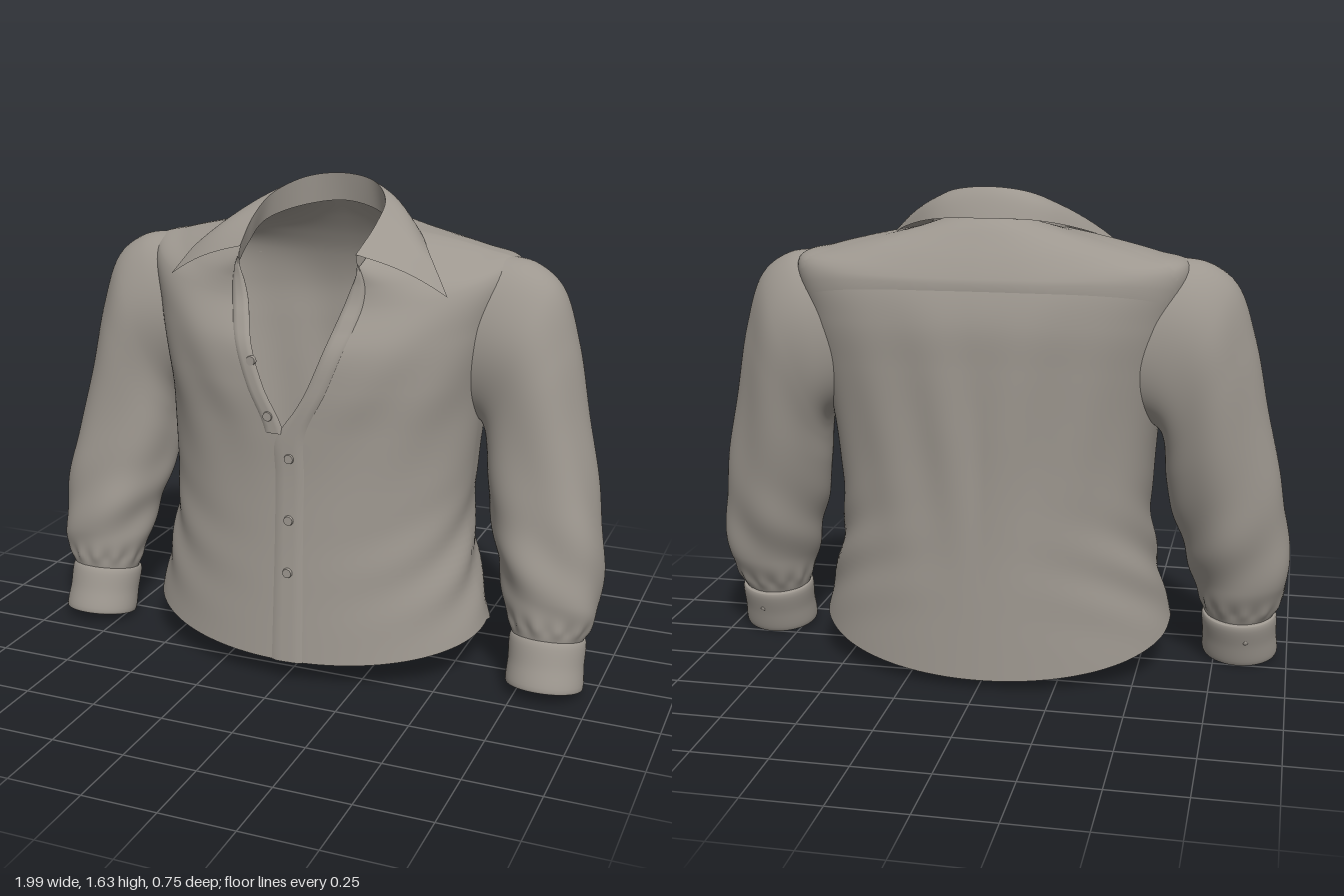
import * as THREE from 'three';
import { mergeVertices } from 'three/addons/utils/BufferGeometryUtils.js';

const V = (x, y, z) => new THREE.Vector3(x, y, z);
const cloth = new THREE.MeshStandardMaterial({ color: 0x9d978f, side: THREE.DoubleSide });
cloth.name = 'taupe cloth';

// Smooth surface from a point rule f(u, v), u and v in 0..1; quads starting inside a hole are left out
function surface(name, nu, nv, f, inHole = () => false) {
  const pts = [], idx = [];
  for (let j = 0; j <= nv; j++)
    for (let i = 0; i <= nu; i++) pts.push(f(i / nu, j / nv));
  for (let j = 0; j < nv; j++)
    for (let i = 0; i < nu; i++) {
      const a = j * (nu + 1) + i, b = a + nu + 1;
      if (!inHole(pts[a])) idx.push(a, a + 1, b, a + 1, b + 1, b);
    }
  let g = new THREE.BufferGeometry().setFromPoints(pts);
  g.setIndex(idx);
  g = mergeVertices(g, 1e-5);
  g.computeVertexNormals();
  const m = new THREE.Mesh(g, cloth);
  m.name = name;
  return m;
}

// Torso rings: half width, middle z, front z, back z, front y, side y, back y,
// half opening, front and back roundness (smaller is squarer), height falloff
const RINGS = [
  [.605, -.01, .37, -.37, .09, .18, .04, 0, 1, .9, 1],
  [.565, -.01, .352, -.365, .3, .33, .28, 0, 1, .85, 1],
  [.53, -.01, .335, -.36, .52, .53, .52, 0, 1, .75, 1],
  [.535, -.02, .325, -.36, .72, .72, .72, 0, 1, .7, 1],
  [.55, -.03, .325, -.365, .87, .88, .9, 0, 1, .65, 1],
  [.575, -.06, .318, -.37, 1.02, 1.05, 1.08, .075, 1, .62, 1],
  [.61, -.08, .295, -.37, 1.15, 1.22, 1.22, .125, 1.1, .6, 1.5],
  [.645, -.09, .225, -.345, 1.28, 1.405, 1.33, .165, 1.3, .6, 1.6],
  [.54, -.09, .21, -.31, 1.34, 1.442, 1.41, .185, 1.35, .65, 1.6],
  [.37, -.07, .208, -.265, 1.38, 1.482, 1.485, .2, 1.2, .75, 1.7],
  [.23, -.03, .205, -.212, 1.41, 1.505, 1.56, .205, 1, 1, 1.7],
];

// Cloth folds: slanted creases at the waist, two long pleats at the back
function fold(a, y) {
  const s = Math.abs(Math.sin(a)), c = Math.cos(a);
  const waist = Math.exp(-(((y - .4) / .18) ** 2)) * s * s * .008 * Math.sin(y * 30 + 9 * c);
  const chest = c > 0 ? .005 * s * Math.exp(-(((y - .95) / .25) ** 2)) * Math.sin(14 * s - 9 * y) : 0;
  const back = c < 0 ? .007 * c * c * Math.exp(-(((y - .85) / .35) ** 2)) * Math.cos(15 * s - 3 * y) : 0;
  return waist + chest + back;
}

// Torso point: a = 0 at one front edge, PI at the back, 2 PI at the other front edge
function torsoPoint(a, v, lift = 0) {
  const side = a > Math.PI ? -1 : 1, b = side < 0 ? 2 * Math.PI - a : a;
  const s = Math.sin(b), c = Math.cos(b);
  const pts = RINGS.map(([w, zc, zf, zb, yf, ys, yb, x0, fq, bq, hp]) => {
    const k = Math.pow(Math.abs(c), hp);
    return c > 0
      ? V(x0 + (w - x0) * s, ys + (yf - ys) * k, zc + (zf - zc) * Math.pow(c, fq))
      : V(w * s, ys + (yb - ys) * k, zc + (zb - zc) * Math.pow(-c, bq));
  });
  const p = new THREE.CatmullRomCurve3(pts).getPoint(v);
  const d = fold(b, p.y) + lift;
  p.x = (p.x + d * s) * side;
  p.z += d * c;
  if (v > .65) p.y += lift;
  return p;
}
const inArmhole = p => Math.abs(p.x) > .45
  && ((p.y - 1.14) / .21) ** 2 + ((p.z + .09) / .115) ** 2 < 1;

// Sleeve rings: inner x, y, outer x, y, middle z, half depth
const SLEEVE = [
  [.535, .88, .60, 1.425, -.095, .165],
  [.56, .855, .70, 1.408, -.093, .175],
  [.57, .82, .79, 1.34, -.085, .175],
  [.575, .77, .855, 1.16, -.07, .168],
  [.58, .69, .905, .92, -.05, .16],
  [.60, .58, .96, .68, -.022, .152],
  [.635, .46, .99, .48, .008, .148],
  [.668, .34, .995, .32, .035, .132],
  [.695, .25, .975, .24, .05, .115],
  [.715, .19, .95, .19, .06, .1],
];
// Cuff rings: outside from wrist to hem, then back up the inside
const CUFF = [
  [.722, .20, .945, .20, .055, .1],
  [.708, .196, .957, .196, .055, .112],
  [.708, .11, .962, .11, .08, .114],
  [.71, .03, .965, .03, .105, .112],
  [.718, .028, .957, .028, .105, .104],
  [.72, .18, .945, .18, .06, .1],
];
function ringPoint(rings, ang, v, side, tilt) {
  const c = Math.cos(ang), s = Math.sin(ang);
  const pts = rings.map(([xi, yi, xo, yo, z, r]) => V(
    (xi + xo) / 2 + (xo - xi) / 2 * c,
    (yi + yo) / 2 + (yo - yi) / 2 * c + tilt * r * s * v,
    z + r * s));
  const p = new THREE.CatmullRomCurve3(pts).getPoint(v);
  p.x *= side;
  return p;
}
function sleevePoint(u, v, side) {
  const a = u * Math.PI * 2;
  const p = ringPoint(SLEEVE, a, v, side, .2);
  // Long drapes above, slanted elbow creases, tight gathers at the cuff
  const d = .005 * Math.sin(5 * a + 6 * v) * Math.sin(Math.PI * v)
    + .006 * Math.exp(-(((v - .7) / .14) ** 2)) * Math.sin(30 * v + 3 * a)
    + .005 * Math.exp(-(((v - .91) / .05) ** 2)) * Math.sin(12 * a);
  // The armhole end wraps around the torso
  const wrap = .1 * Math.sin(a) ** 2 * Math.pow(1 - v, 8);
  p.x += (d * Math.cos(a) - wrap) * side;
  p.z += d * Math.sin(a);
  return p;
}

// Collar lines, back centre to front, mirrored into full curves
function mirrored(half) {
  const left = half.map(p => V(...p));
  const right = half.slice(1).reverse().map(([x, y, z]) => V(-x, y, z));
  return new THREE.CatmullRomCurve3([...right, ...left]);
}
const standLine = mirrored([[0, 1.55, -.205], [.14, 1.53, -.16], [.22, 1.495, -.04], [.22, 1.44, .1], [.205, 1.4, .205]]);
const foldLine = mirrored([[0, 1.645, -.19], [.12, 1.63, -.16], [.2, 1.585, -.06], [.215, 1.525, .07], [.2, 1.45, .21]]);
const leafLine = mirrored([[0, 1.548, -.236], [.17, 1.54, -.2], [.31, 1.497, -.07], [.405, 1.435, .08], [.485, 1.325, .15]]);

export function createModel() {
  const shirt = new THREE.Group();
  shirt.name = 'shirt';
  const TAU = Math.PI * 2;

  shirt.add(surface('torso', 144, 90, (u, v) => torsoPoint(u * TAU, v), inArmhole));

  // Shoulder yoke laid over the upper back, flush at its ends
  shirt.add(surface('yoke', 60, 16, (u, v) => {
    const a = 1.9 + u * (TAU - 3.8);
    const start = .7 - .07 * Math.sin(a) ** 2;
    const lift = v === 0 ? 0 : .006 * Math.min(1, 6 * Math.min(u, 1 - u)) * Math.min(1, 5 * (1 - v));
    return torsoPoint(a, start + v * (1 - start), lift);
  }, inArmhole));

  // Button strip on the overlapping front edge, and facing on the other
  shirt.add(surface('buttonPlacket', 6, 80, (u, v) => {
    const edge = u === 0 || u === 1 ? .001 : .008;
    const p = torsoPoint(u * .13, v, edge);
    p.x -= .03 * (1 - u) * (1 - THREE.MathUtils.smoothstep(v, .36, .46));
    return p;
  }));
  shirt.add(surface('buttonFacing', 6, 40, (u, v) =>
    torsoPoint(TAU - u * .12, .4 + v * .6, u === 0 || u === 1 ? .001 : .007)));

  // Buttons
  for (const [x, y, z] of [[-.12, 1.1, .312], [-.055, .925, .33], [.02, .79, .333], [.02, .58, .34], [.02, .4, .353]]) {
    const b = new THREE.Mesh(new THREE.CylinderGeometry(.015, .018, .01, 20), cloth);
    b.rotation.x = Math.PI / 2;
    b.position.set(x, y, z);
    b.name = 'button';
    shirt.add(b);
  }

  // Collar: inner stand and folded leaf
  const collar = new THREE.Group();
  collar.name = 'collar';
  collar.add(surface('collarStand', 64, 6, (u, v) =>
    standLine.getPoint(u).lerp(foldLine.getPoint(u), v)));
  collar.add(surface('collarLeaf', 64, 10, (u, v) => {
    const p = foldLine.getPoint(u).lerp(leafLine.getPoint(u), v);
    const bulge = .012 * Math.sin(Math.PI * v);
    return p.add(V(Math.sign(p.x) * bulge * Math.min(1, Math.abs(p.x) * 5), bulge, 0));
  }));
  shirt.add(collar);

  // Sleeves and cuffs
  for (const side of [1, -1]) {
    const arm = new THREE.Group();
    arm.name = side > 0 ? 'leftSleeve' : 'rightSleeve';
    arm.add(surface('sleeve', 72, 80, (u, v) => sleevePoint(u % 1, v, side)));
    arm.add(surface('cuff', 48, 30, (u, v) => {
      const p = ringPoint(CUFF, (u % 1) * TAU, v, side, 0);
      p.y += .2 * (p.z - .08);
      return p;
    }));
    const b = new THREE.Mesh(new THREE.SphereGeometry(.012, 12, 8), cloth);
    b.name = 'cuffButton';
    b.position.set(side * .86, .11, -.03);
    arm.add(b);
    shirt.add(arm);
  }
  return shirt;
}
